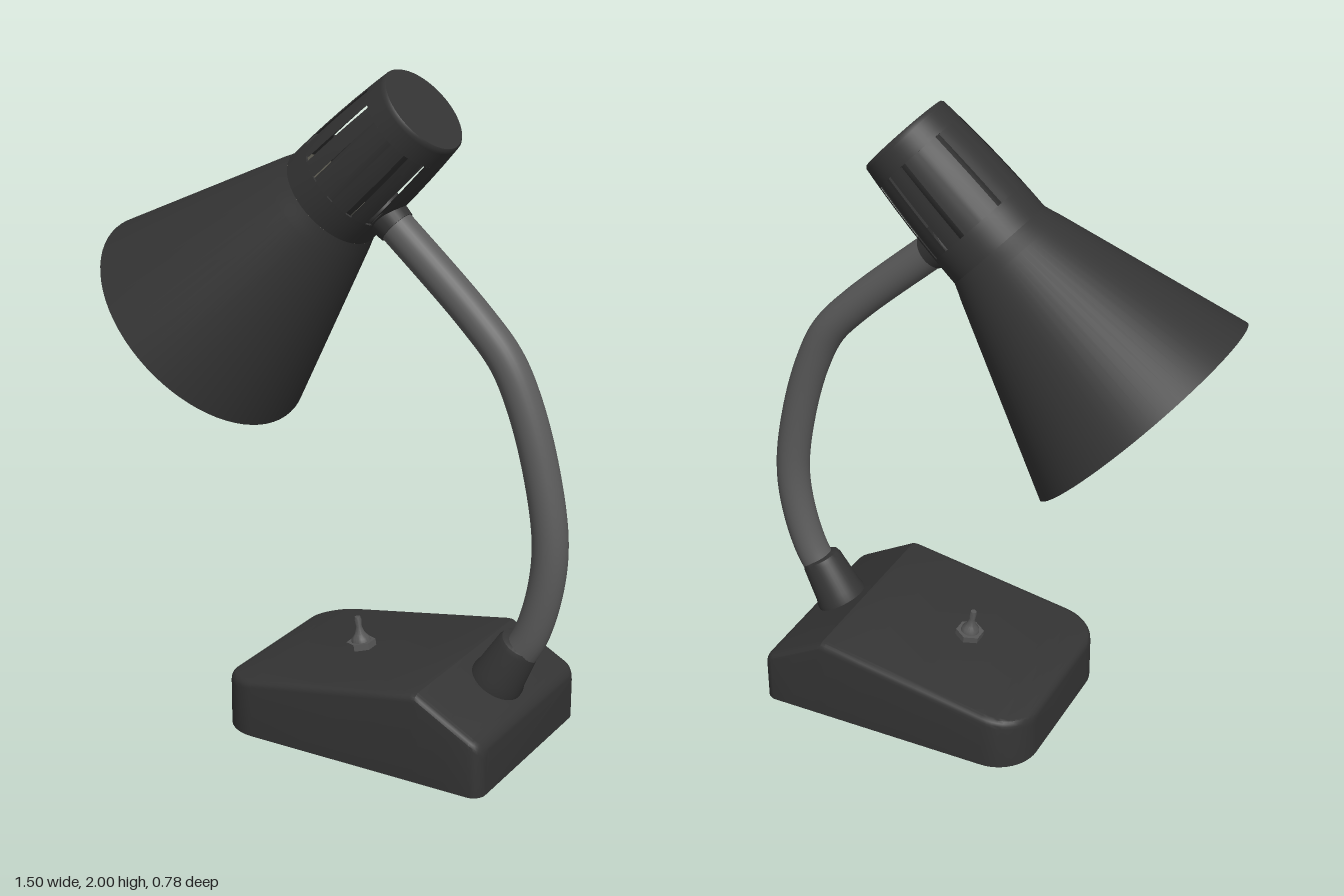
import * as THREE from 'three';
import { toCreasedNormals } from 'three/addons/utils/BufferGeometryUtils.js';

const V = (x, y, z = 0) => new THREE.Vector3(x, y, z);

function material(name, color, side = THREE.FrontSide) {
  const m = new THREE.MeshStandardMaterial({ color, side });
  m.name = name;
  return m;
}

function add(parent, name, geometry, mat) {
  const mesh = new THREE.Mesh(geometry, mat);
  mesh.name = name;
  parent.add(mesh);
  return mesh;
}

// Turned part from [radius, height] pairs
function turned(profile, segments = 64, start = 0, length = Math.PI * 2) {
  const pts = profile.map(([r, y]) => new THREE.Vector2(r, y));
  return toCreasedNormals(new THREE.LatheGeometry(pts, segments, start, length), 0.6);
}

// Wedge base: cross-sections lofted along x, rounded in plan and along the top edges
function baseGeometry() {
  const left = -0.255, right = 0.65, half = 0.324, rl = 0.13, rr = 0.04, edge = 0.024;
  const xs = [];
  for (let i = 0; i <= 12; i++) xs.push(left + rl * (1 - Math.cos(i / 12 * Math.PI / 2)));
  xs.push(0.1, 0.3, 0.42, 0.435, 0.45, 0.54);
  for (let i = 8; i >= 0; i--) xs.push(right - rr * (1 - Math.cos(i / 8 * Math.PI / 2)));
  const round = (d, r) => d < r ? r - Math.sqrt(Math.max(0, r * r - (r - d) ** 2)) : 0;
  const pos = [], index = [];
  for (const x of xs) {
    const dl = x - left, dr = right - x;
    const w = half - round(dl, rl) - round(dr, rr);
    const h = Math.min(0.17 + 0.171 * (x + 0.2), 0.275 - 0.552 * (x - 0.436))
      - round(dl, edge) - round(dr, edge);
    const side = [[w, 0]];
    for (let k = 0; k <= 4; k++) {
      const a = k / 4 * Math.PI / 2;
      side.push([w - edge * (1 - Math.cos(a)), h - edge * (1 - Math.sin(a))]);
    }
    for (const [z, y] of side) pos.push(x, y, z);
    for (const [z, y] of side.reverse()) pos.push(x, y, -z);
  }
  const n = 12, last = (xs.length - 1) * n;
  for (let i = 0; i < xs.length - 1; i++) {
    for (let j = 0; j < n; j++) {
      const a = i * n + j, b = i * n + (j + 1) % n;
      index.push(a, a + n, b, b, a + n, b + n);
    }
  }
  for (let j = 1; j < n - 1; j++) index.push(0, j, j + 1, last, last + j + 1, last + j);
  const g = new THREE.BufferGeometry();
  g.setAttribute('position', new THREE.Float32BufferAttribute(pos, 3));
  g.setIndex(index);
  return toCreasedNormals(g, 0.4);
}

export function createModel() {
  const model = new THREE.Group();
  model.name = 'deskLamp';
  const dark = material('dark plastic', 0x343434, THREE.DoubleSide);
  const grey = material('grey sleeve', 0x5c5c5c);
  const metal = material('switch metal', 0x555555);
  const pale = material('pale lining', 0xa8a594, THREE.DoubleSide);

  add(model, 'base', baseGeometry(), dark);

  // Collar standing square to the rear slope
  const collar = add(model, 'neckCollar', turned([
    [0.082, -0.03], [0.082, 0.012], [0.077, 0.03], [0.066, 0.14], [0.06, 0.155], [0.05, 0.16], [0, 0.16],
  ], 40), dark);
  collar.position.set(0.538, 0.22, 0);
  collar.rotation.z = -0.5;

  // Bent neck
  const path = new THREE.CatmullRomCurve3([
    V(0.59, 0.29), V(0.645, 0.39), V(0.687, 0.545), V(0.696, 0.693), V(0.661, 0.9),
    V(0.602, 1.09), V(0.542, 1.21), V(0.44, 1.323), V(0.177, 1.56), V(0.12, 1.61),
  ]);
  add(model, 'neck', new THREE.TubeGeometry(path, 90, 0.053, 28), grey);

  // Toggle switch on the front slope
  const toggle = new THREE.Group();
  toggle.name = 'toggleSwitch';
  toggle.position.set(0.073, 0.216, 0);
  toggle.rotation.z = 0.17;
  model.add(toggle);
  add(toggle, 'switchNut', toCreasedNormals(new THREE.CylinderGeometry(0.045, 0.045, 0.026, 6), 0.5), metal)
    .position.y = 0.008;
  add(toggle, 'switchLever', turned([
    [0.03, 0.02], [0.027, 0.032], [0.016, 0.045], [0.009, 0.065], [0.011, 0.09], [0.009, 0.099], [0, 0.1],
  ], 20), metal);

  // Lamp head: local y runs from the rim centre to the cap
  const head = new THREE.Group();
  head.name = 'lampHead';
  head.position.set(-0.485, 1.1875, 0);
  head.rotation.z = -0.814;
  model.add(head);

  add(head, 'shade', turned([
    [0.381, 0], [0.388, 0], [0.186, 0.575], [0.178, 0.595], [0.167, 0.625],
  ], 72), dark);
  add(head, 'shadeLining', turned([[0.155, 0.625], [0.178, 0.575], [0.381, 0.0]], 72), pale);

  // Cap wall: solid bands below and above, posts between the vent slots
  const wall = 0.007, low = 0.71, high = 0.965, top = 1.02;
  const radius = y => 0.167 - 0.14 * (y - 0.625) ** 2;
  const band = (a, b) => {
    const outer = [0, 1, 2, 3, 4].map(i => a + (b - a) * i / 4).map(y => [radius(y), y]);
    const inner = outer.map(([r, y]) => [r - wall, y]).reverse();
    return [...outer, ...inner, outer[0]];
  };
  add(head, 'capLowerBand', turned(band(0.625, low)), dark);
  add(head, 'capUpperBand', turned(band(high, top)), dark);
  const slots = [];
  for (const side of [0, Math.PI]) {
    for (let k = -2.5; k <= 2.5; k++) slots.push(side + k * 0.436);
  }
  const gap = 0.06;
  slots.forEach((a, i) => {
    const next = i < slots.length - 1 ? slots[i + 1] : slots[0] + Math.PI * 2;
    const span = next - a - 2 * gap;
    add(head, 'capPost', turned(band(low, high), Math.ceil(span * 10), a + gap, span), dark);
  });
  add(head, 'capTop', turned([
    [radius(top), top], [0.144, 1.03], [0.139, 1.036], [0, 1.036],
  ]), dark);

  // Socket and bulb inside the head
  add(head, 'socket', turned([[0, 0.56], [0.075, 0.56], [0.075, 1.02]], 32), dark);
  add(head, 'bulb', turned([
    [0, 0.2], [0.06, 0.212], [0.1, 0.25], [0.115, 0.305], [0.1, 0.365], [0.07, 0.43], [0.055, 0.5], [0.055, 0.57],
  ], 32), pale);

  // Small joint where the neck meets the cap
  const joint = add(model, 'neckJoint', new THREE.CylinderGeometry(0.057, 0.066, 0.08, 28), dark);
  joint.position.set(0.155, 1.579, 0);
  joint.rotation.z = -2.3;

  return model;
}
